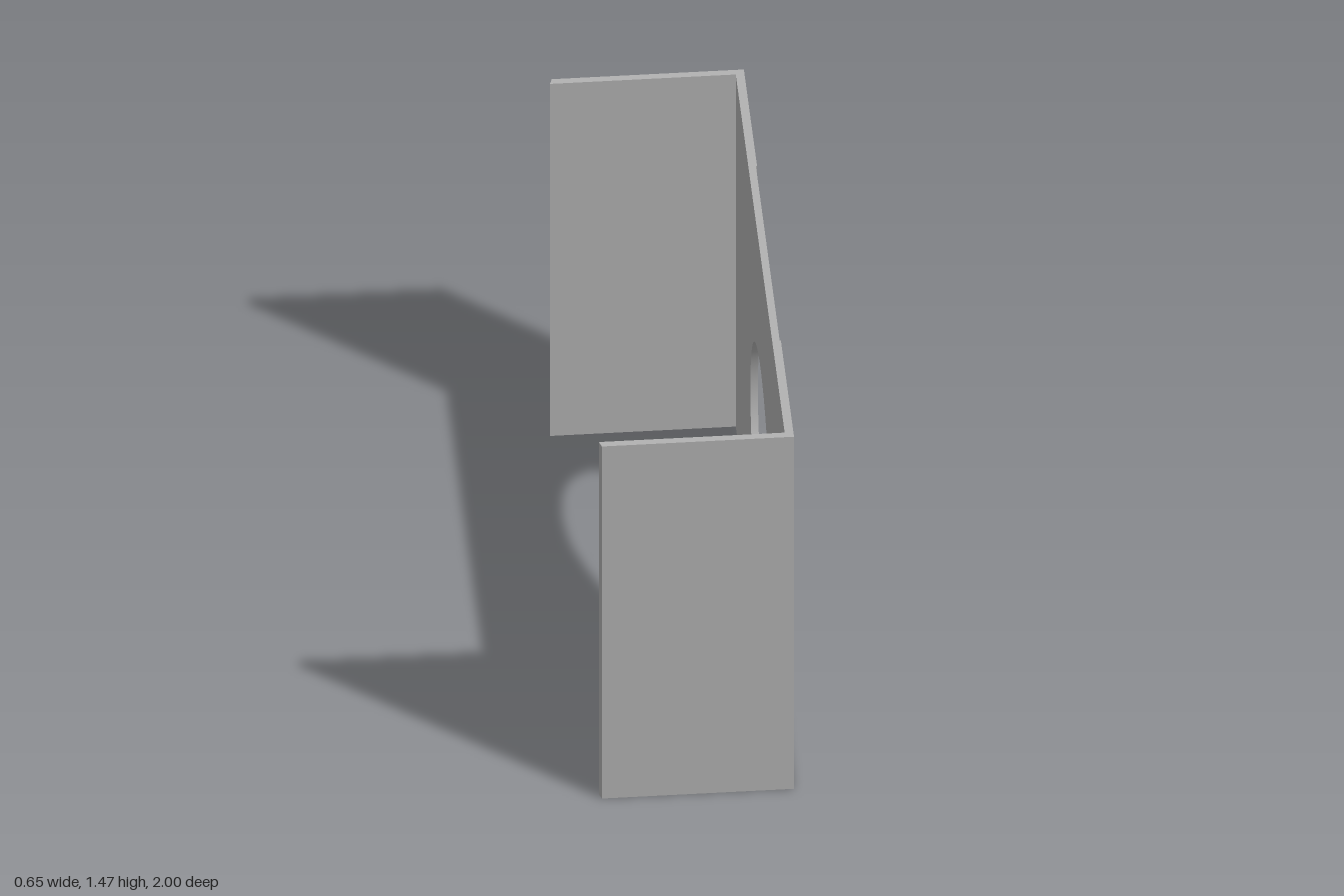
import * as THREE from 'three';
import { toCreasedNormals } from 'three/addons/utils/BufferGeometryUtils.js';

const H = 1.47, OUT = 0.323, IN = 0.294, REC = 0.319; // height, web outer, inner and recessed faces
const T = 0.025, HOLE_Y = 0.607, HOLE_R = 0.393;

export function createModel() {
  const model = new THREE.Group();
  const metal = new THREE.MeshStandardMaterial({ color: 0xb2b2b2 });
  metal.name = 'plain grey';

  function add(name, geometry) {
    const mesh = new THREE.Mesh(toCreasedNormals(geometry, 0.5), metal);
    mesh.name = name;
    model.add(mesh);
  }
  const polygon = (pts) => new THREE.Shape(pts.map(([a, b]) => new THREE.Vector2(a, b)));

  // Extrudes an upright outline along x, from x0 to x1
  function upright(shape, x0, x1) {
    const g = new THREE.ExtrudeGeometry(shape, { depth: x1 - x0, bevelEnabled: false, curveSegments: 64 });
    return g.rotateY(Math.PI / 2).translate(x0, 0, 0);
  }

  // Web plate with a round opening
  const w = 1 - T;
  const web = polygon([[-w, 0], [w, 0], [w, H], [-w, H]]);
  web.holes.push(new THREE.Path().absarc(0, HOLE_Y, HOLE_R, 0, Math.PI * 2, true));
  add('web', upright(web, IN, REC));

  // Raised pad below the opening, its top edge cut by the circle
  const padTop = 0.26, half = Math.acos((HOLE_Y - padTop) / HOLE_R);
  const pad = polygon([[-0.29, 0], [0.29, 0], [0.29, padTop]]);
  pad.absarc(0, HOLE_Y, HOLE_R, -Math.PI / 2 + half, -Math.PI / 2 - half, true);
  pad.lineTo(-0.29, padTop);
  add('lowerPad', upright(pad, REC, OUT));

  for (const s of [1, -1]) {
    const side = s > 0 ? 'front' : 'back';
    // Slightly raised strip beside the recess
    const strip = new THREE.BoxGeometry(OUT - REC, H, w - 0.475);
    add(side + 'WebStrip', strip.translate((OUT + REC) / 2, H / 2, s * (w + 0.475) / 2));

    // Flange with a slanted free end
    const plan = polygon([[OUT, s], [-0.315, s], [-OUT, s * w], [OUT, s * w]]);
    const flange = new THREE.ExtrudeGeometry(plan, { depth: H, bevelEnabled: false });
    add(side + 'Flange', flange.rotateX(-Math.PI / 2));
  }
  return model;
}
